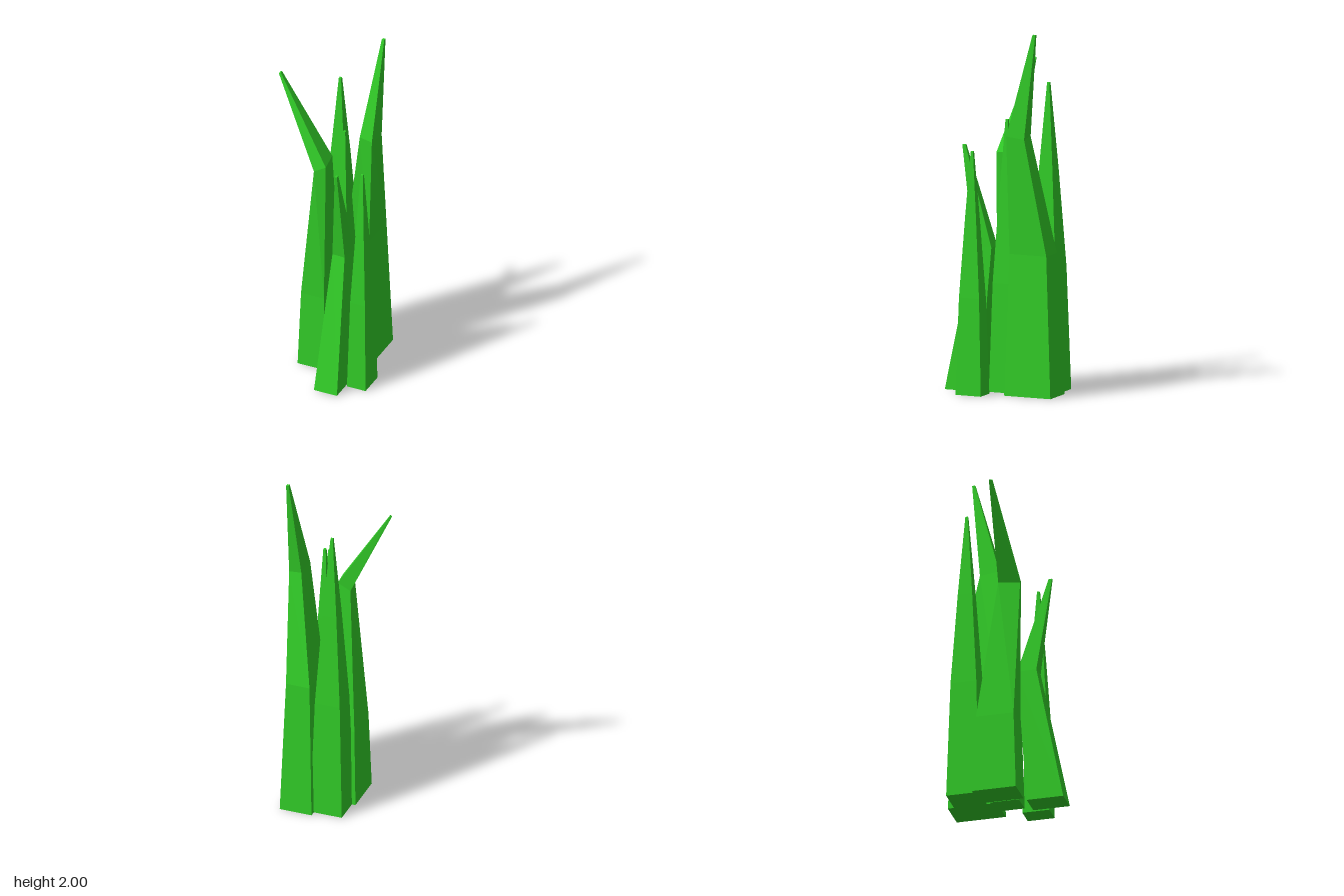
import * as THREE from 'three';

// Axis-aligned ring: corners back-left, back-right, front-right, front-left
const rect = (y, x0, x1, z0, z1) => [[x0, y, z0], [x1, y, z0], [x1, y, z1], [x0, y, z1]];

// Closed four-sided loft through a list of rings
function loft(rings) {
  const pos = [];
  const quad = (a, b, c, d) => pos.push(...a, ...b, ...c, ...a, ...c, ...d);
  for (let i = 0; i < rings.length - 1; i++) {
    const lo = rings[i], hi = rings[i + 1];
    for (let k = 0; k < 4; k++) {
      const n = (k + 1) % 4;
      quad(lo[k], hi[k], hi[n], lo[n]);
    }
  }
  const top = rings[rings.length - 1];
  quad(...rings[0]);
  quad(top[3], top[2], top[1], top[0]);
  const g = new THREE.BufferGeometry();
  g.setAttribute('position', new THREE.Float32BufferAttribute(pos, 3));
  g.computeVertexNormals();
  return g;
}

// Upright blade tapering in three stages towards its tip
function straightBlade(cx, cz, hx, hz, height) {
  const ring = (t, fx, fz) => rect(t * height, cx - fx, cx + fx, cz - fz, cz + fz);
  return loft([
    ring(0, hx, hz),
    ring(0.4, hx * 0.79, hz * 0.79),
    ring(0.72, hx * 0.44, hz * 0.44),
    ring(1, 0.007, 0.007),
  ]);
}

export function createModel() {
  const group = new THREE.Group();
  const green = new THREE.MeshStandardMaterial({ color: 0x32cd28, flatShading: true });
  green.name = 'grassGreen';
  const add = (name, geometry) => {
    const mesh = new THREE.Mesh(geometry, green);
    mesh.name = name;
    group.add(mesh);
  };

  // Straight blades
  add('backBlade', straightBlade(-0.036, -0.198, 0.092, 0.092, 1.7));
  add('middleBlade', straightBlade(0.081, -0.003, 0.061, 0.082, 1.5));
  add('smallSideBlade', straightBlade(0.249, 0.128, 0.056, 0.076, 1.34));

  // Tall blade, bent forward and then back
  add('tallBlade', loft([
    rect(0, 0.035, 0.22, -0.325, -0.048),
    rect(0.78, 0.06, 0.197, -0.29, -0.07),
    [[0.152, 1.43, -0.176], [0.225, 1.42, -0.17], [0.218, 1.43, -0.06], [0.143, 1.44, -0.065]],
    rect(2, 0.203, 0.218, -0.234, -0.217),
  ]));

  // Blade whose tip leans far sideways
  add('leaningBlade', loft([
    rect(0, -0.149, 0.015, -0.138, 0.108),
    rect(0.45, -0.136, 0.002, -0.12, 0.092),
    [[-0.071, 1.27, -0.012], [0.001, 1.31, -0.016], [0.013, 1.3, 0.093], [-0.052, 1.265, 0.106]],
    [[-0.306, 1.78, -0.001], [-0.296, 1.786, -0.003], [-0.293, 1.785, 0.016], [-0.303, 1.778, 0.019]],
  ]));

  // Front blade, tilted back below and forward above
  add('frontBlade', loft([
    rect(0.005, 0.05, 0.188, 0.115, 0.321),
    [[0.092, 0.8, 0.05], [0.165, 0.8, 0.053], [0.16, 0.8, 0.164], [0.085, 0.8, 0.16]],
    rect(1.355, 0.134, 0.147, 0.216, 0.235),
  ]));

  return group;
}
